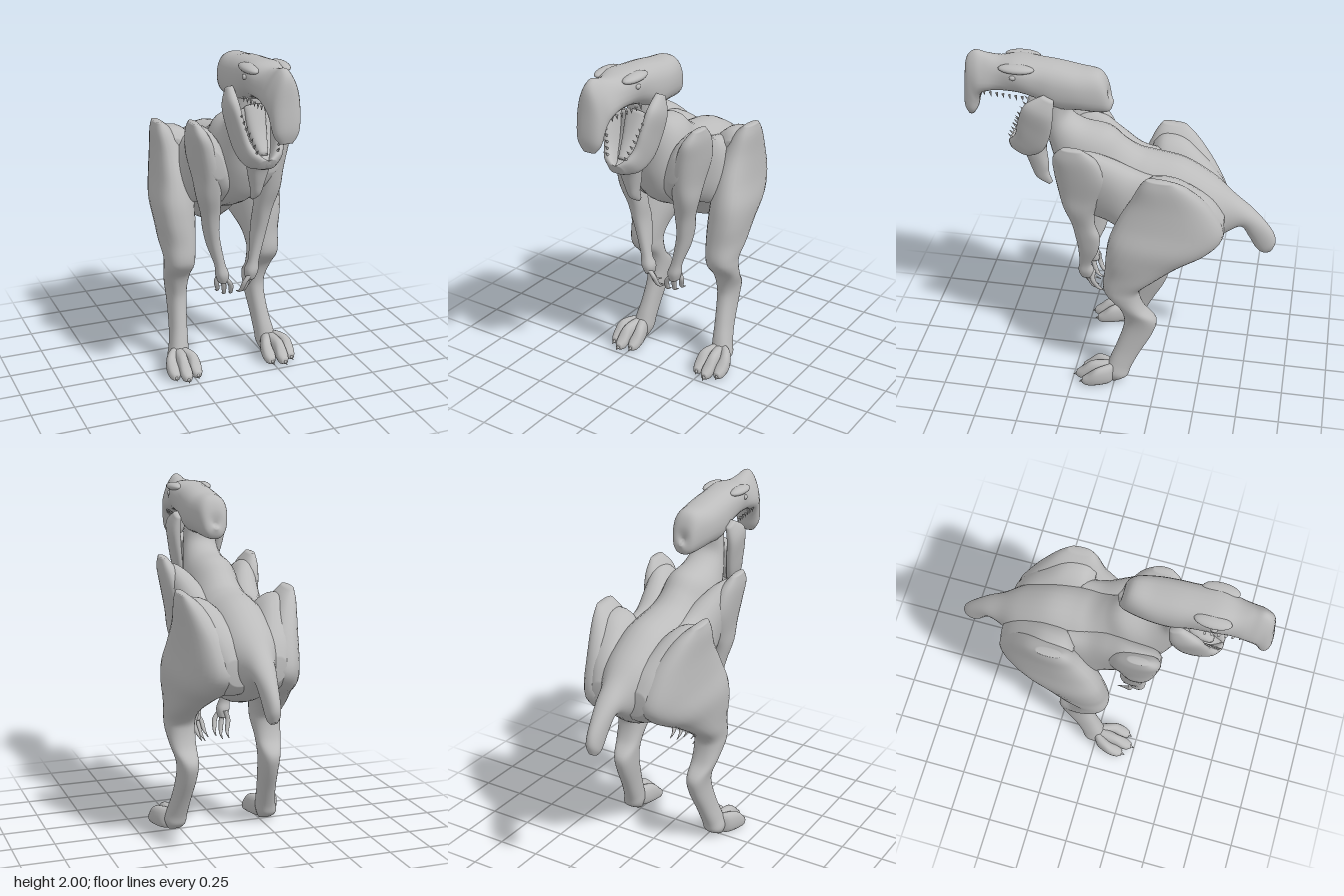
import * as THREE from 'three';

const hide = new THREE.MeshStandardMaterial({ color: 0xbcbcbc });
hide.name = 'grey hide';

const spline = (a, b, c, d, t) =>
  0.5 * (2 * b + (c - a) * t + (2 * a - 5 * b + 4 * c - d) * t * t + (3 * b - a - 3 * c + d) * t * t * t);

// Skin a row of ribs. Rib: [z, y of one edge, z, y of the opposite edge, half width, centre x, lean in x,
// taper], where taper narrows the first edge and widens the opposite one.
function loft(ribs, { side = 1, steps = 5, round = 28, power = 0.85 } = {}) {
  const rows = [], fields = [0, 1, 2, 3, 4, 5, 6, 7];
  const rib = (i) => ribs[Math.min(Math.max(i, 0), ribs.length - 1)];
  for (let i = 0; i < ribs.length - 1; i++) {
    for (let s = 0; s < steps; s++) {
      rows.push(fields.map((k) => spline(...[-1, 0, 1, 2].map((o) => rib(i + o)[k] ?? 0), s / steps)));
    }
  }
  rows.push(fields.map((k) => ribs[ribs.length - 1][k] ?? 0));

  const pos = [], index = [];
  const soft = (v) => Math.sign(v) * Math.abs(v) ** power;
  for (const [z1, y1, z2, y2, w, x, lean, taper] of rows) {
    for (let j = 0; j < round; j++) {
      const a = (j / round) * Math.PI * 2;
      const t = soft(Math.cos(a)), u = soft(Math.sin(a)) * (1 - taper * t);
      pos.push(side * (x + w * u + lean * t), (y1 + y2) / 2 + (y1 - y2) / 2 * t, (z1 + z2) / 2 + (z1 - z2) / 2 * t);
    }
  }
  for (let i = 0; i < rows.length - 1; i++) {
    for (let j = 0; j < round; j++) {
      const a = i * round + j, b = i * round + (j + 1) % round;
      index.push(a, b, a + round, b, b + round, a + round);
    }
  }
  // Close both ends with a fan
  [0, rows.length - 1].forEach((r) => {
    const [z1, y1, z2, y2, , x] = rows[r], c = pos.length / 3;
    pos.push(side * x, (y1 + y2) / 2, (z1 + z2) / 2);
    for (let j = 0; j < round; j++) {
      const a = r * round + j, b = r * round + (j + 1) % round;
      r ? index.push(a, b, c) : index.push(b, a, c);
    }
  });
  // Turn the faces outward if the enclosed volume is negative
  const p = (i) => new THREE.Vector3().fromArray(pos, i * 3);
  let volume = 0;
  for (let i = 0; i < index.length; i += 3) volume += p(index[i]).dot(p(index[i + 1]).cross(p(index[i + 2])));
  if (volume < 0) index.reverse();

  const geo = new THREE.BufferGeometry();
  geo.setAttribute('position', new THREE.Float32BufferAttribute(pos, 3));
  geo.setIndex(index);
  geo.computeVertexNormals();
  return geo;
}

export function createModel() {
  const model = new THREE.Group();
  model.name = 'dinosaur';
  const add = (name, geo) => {
    const mesh = new THREE.Mesh(geo, hide);
    mesh.name = name;
    model.add(mesh);
    return mesh;
  };
  // Pointed cone from a base to a tip, for teeth and claws
  const spike = (name, from, to, r) => {
    const a = new THREE.Vector3(...from), d = new THREE.Vector3(...to).sub(a);
    const mesh = add(name, new THREE.ConeGeometry(r, d.length(), 8));
    mesh.position.copy(a).addScaledVector(d, 0.5);
    mesh.quaternion.setFromUnitVectors(new THREE.Vector3(0, 1, 0), d.normalize());
  };
  const ball = (name, x, y, z, sx, sy, sz) => {
    const mesh = add(name, new THREE.SphereGeometry(1, 20, 14));
    mesh.position.set(x, y, z);
    mesh.scale.set(sx, sy, sz);
  };

  // Neck, trunk and short drooping tail
  add('body', loft([
    [0.28, 1.82, 0.45, 1.76, 0.09], [0.30, 1.68, 0.43, 1.56, 0.10], [0.22, 1.61, 0.40, 1.42, 0.12],
    [0.07, 1.58, 0.36, 1.27, 0.15], [-0.02, 1.51, 0.27, 1.12, 0.17, 0, 0, 0.1],
    [-0.10, 1.46, 0.12, 1.03, 0.19, 0, 0, 0.1], [-0.19, 1.44, -0.05, 0.96, 0.21, 0, 0, 0.1],
    [-0.35, 1.41, -0.22, 0.83, 0.20], [-0.52, 1.31, -0.45, 0.87, 0.17], [-0.64, 1.21, -0.60, 0.97, 0.095],
    [-0.74, 1.13, -0.68, 1.02, 0.065], [-0.82, 1.05, -0.73, 0.95, 0.05], [-0.87, 0.98, -0.77, 0.88, 0.042],
    [-0.886, 0.92, -0.80, 0.85, 0.035], [-0.87, 0.865, -0.825, 0.842, 0.018],
  ], { power: 0.95 }));

  // Skull with a ridged, hooked snout and a small knob at the back
  add('head', loft([
    [0.085, 1.78, 0.05, 1.755, 0.012], [0.085, 1.86, 0.07, 1.70, 0.06], [0.13, 1.93, 0.13, 1.69, 0.09],
    [0.24, 1.945, 0.24, 1.70, 0.115], [0.36, 1.965, 0.36, 1.70, 0.12], [0.46, 1.975, 0.46, 1.75, 0.115],
    [0.58, 1.982, 0.57, 1.78, 0.12, 0, 0, -0.1], [0.68, 1.972, 0.68, 1.785, 0.098, 0, 0, 0.15],
    [0.76, 1.985, 0.74, 1.775, 0.09, 0, 0, 0.4], [0.82, 1.998, 0.78, 1.755, 0.085, 0, 0, 0.5],
    [0.868, 1.95, 0.80, 1.72, 0.08, 0, 0, 0.4], [0.882, 1.82, 0.81, 1.69, 0.08, 0, 0, 0.15],
    [0.89, 1.69, 0.82, 1.645, 0.068], [0.875, 1.62, 0.84, 1.612, 0.035],
  ]));

  // Floor of the lower jaw, tongue and hanging throat flap
  add('jawFloor', loft([
    [0.45, 1.70, 0.37, 1.64, 0.11], [0.49, 1.56, 0.42, 1.50, 0.10], [0.57, 1.46, 0.49, 1.40, 0.085],
    [0.63, 1.455, 0.60, 1.395, 0.055],
  ]));
  add('tongue', loft([
    [0.46, 1.72, 0.42, 1.68, 0.06], [0.52, 1.58, 0.46, 1.54, 0.05], [0.59, 1.48, 0.55, 1.45, 0.025],
  ]));
  add('throatFlap', loft([
    [0.60, 1.43, 0.43, 1.50, 0.075], [0.56, 1.385, 0.44, 1.41, 0.065], [0.53, 1.29, 0.43, 1.31, 0.042],
    [0.50, 1.215, 0.43, 1.25, 0.026], [0.43, 1.17, 0.41, 1.19, 0.01],
  ]));

  for (const s of [1, -1]) {
    const side = s > 0 ? 'left' : 'right';
    const part = (name, ribs, options = {}) => add(side + name, loft(ribs, { side: s, ...options }));

    // Brow and eye
    ball(side + 'Brow', s * 0.088, 1.948, 0.57, 0.042, 0.024, 0.1);
    ball(side + 'Eye', s * 0.118, 1.908, 0.585, 0.012, 0.014, 0.018);

    // Jaw branch from hinge to chin
    part('Jaw', [
      [0.42, 1.82, 0.36, 1.79, 0.02, 0.125], [0.52, 1.76, 0.365, 1.69, 0.035, 0.138],
      [0.565, 1.65, 0.39, 1.56, 0.032, 0.12], [0.59, 1.55, 0.44, 1.45, 0.032, 0.095],
      [0.63, 1.49, 0.53, 1.395, 0.036, 0.06], [0.648, 1.46, 0.62, 1.405, 0.03, 0.015],
    ]);
    // Rows of teeth
    for (let i = 0; i < 7; i++) {
      const t = i / 6;
      const x = s * (0.12 - 0.06 * t), y = 1.68 - 0.18 * t, z = 0.545 + 0.075 * t;
      spike(side + 'LowerTooth', [x, y, z], [x, y + 0.025, z + 0.025], 0.007);
      const ux = s * (0.10 - 0.025 * t), uz = 0.54 + 0.22 * t;
      spike(side + 'UpperTooth', [ux, 1.79, uz], [ux, 1.76, uz - 0.005], 0.008);
    }

    // Shoulder mass joining the neck and ribs to the blade peak
    part('Shoulder', [
      [0.34, 1.43, 0.34, 1.28, 0.04, 0.175, 0.02], [0.28, 1.53, 0.29, 1.18, 0.08, 0.17, 0.06],
      [0.16, 1.54, 0.18, 1.08, 0.09, 0.155, 0.06], [0.04, 1.48, 0.06, 1.05, 0.10, 0.145, 0.03],
      [-0.08, 1.41, -0.05, 1.01, 0.10, 0.145], [-0.20, 1.38, -0.20, 1.0, 0.08, 0.15],
    ]);
    // Arm from shoulder peak to wrist
    part('Arm', [
      [0.29, 1.588, 0.18, 1.583, 0.02, 0.27], [0.345, 1.52, 0.10, 1.50, 0.05, 0.245],
      [0.35, 1.42, 0.05, 1.36, 0.065, 0.215], [0.335, 1.28, 0.09, 1.22, 0.07, 0.185],
      [0.31, 1.16, 0.13, 1.13, 0.065, 0.178], [0.27, 1.04, 0.135, 1.02, 0.052, 0.16],
      [0.25, 0.93, 0.11, 0.93, 0.042, 0.15], [0.24, 0.84, 0.125, 0.82, 0.037, 0.133],
      [0.24, 0.72, 0.17, 0.71, 0.03, 0.105], [0.25, 0.65, 0.16, 0.65, 0.038, 0.09],
      [0.235, 0.60, 0.16, 0.60, 0.025, 0.085],
    ]);
    // Three fingers with hooked claws
    [[0.035, 0.225], [0.065, 0.195], [0.095, 0.165]].forEach(([x, z], i) => {
      const drop = 0.012 * (i % 2);
      part('Finger' + i, [
        [z + 0.016, 0.645, z - 0.016, 0.645, 0.015, 0.09], [z + 0.012, 0.59, z - 0.017, 0.59, 0.015, x + 0.012],
        [z - 0.012, 0.535 - drop, z - 0.036, 0.54 - drop, 0.012, x],
        [z - 0.04, 0.51 - drop, z - 0.05, 0.52 - drop, 0.007, x - 0.006],
        [z - 0.085, 0.498 - drop, z - 0.087, 0.501 - drop, 0.002, x - 0.01],
      ], { round: 12 });
    });

    // Rump filling the saddle between spine and hip crest
    part('Rump', [
      [-0.14, 1.37, -0.14, 1.10, 0.06, 0.20, 0.04], [-0.20, 1.425, -0.20, 1.02, 0.12, 0.17, 0.07],
      [-0.32, 1.415, -0.32, 0.95, 0.13, 0.165, 0.06], [-0.44, 1.33, -0.44, 0.92, 0.12, 0.15, 0.03],
      [-0.54, 1.23, -0.54, 0.94, 0.10, 0.115, 0.02], [-0.595, 1.14, -0.595, 1.0, 0.07, 0.10, 0.01],
    ]);
    // Hip crest, thigh, shin and ankle
    part('Leg', [
      [-0.18, 1.468, -0.32, 1.458, 0.022, 0.312], [-0.14, 1.41, -0.41, 1.385, 0.06, 0.28, 0.015],
      [-0.09, 1.30, -0.53, 1.23, 0.095, 0.238, 0.035], [-0.02, 1.17, -0.60, 1.06, 0.115, 0.225, 0.05],
      [0.03, 1.04, -0.53, 0.95, 0.13, 0.235, 0.05], [0.05, 0.92, -0.37, 0.86, 0.12, 0.248, 0.03],
      [0.06, 0.80, -0.23, 0.765, 0.10, 0.26], [0.07, 0.70, -0.15, 0.69, 0.088, 0.262],
      [0.05, 0.64, -0.14, 0.63, 0.085, 0.262], [-0.02, 0.56, -0.17, 0.54, 0.075, 0.26],
      [-0.05, 0.46, -0.24, 0.46, 0.06, 0.25], [-0.045, 0.38, -0.22, 0.36, 0.053, 0.25],
      [-0.005, 0.25, -0.15, 0.22, 0.05, 0.262], [0.03, 0.155, -0.10, 0.11, 0.055, 0.275],
      [0.05, 0.08, -0.08, 0.05, 0.06, 0.285], [0.03, 0.01, -0.03, 0.015, 0.04, 0.285],
    ]);
    // Three toes with claws
    [[0.235, -0.02], [0.305, 0.01], [0.365, -0.035]].forEach(([x, dz], i) => {
      part('Toe' + i, [
        [-0.01, 0.13, 0, 0.015, 0.04, 0.285], [0.06 + dz, 0.135, 0.06 + dz, 0.005, 0.04, (x + 0.29) / 2],
        [0.13 + dz, 0.125, 0.13 + dz, 0.005, 0.034, x], [0.185 + dz, 0.075, 0.19 + dz, 0, 0.034, x],
        [0.22 + dz, 0.045, 0.22 + dz, 0.01, 0.018, x],
      ], { round: 16 });
      spike(side + 'ToeClaw' + i, [s * x, 0.032, 0.2 + dz], [s * (x + 0.005), 0.012, 0.242 + dz], 0.018);
    });
  }
  return model;
}
